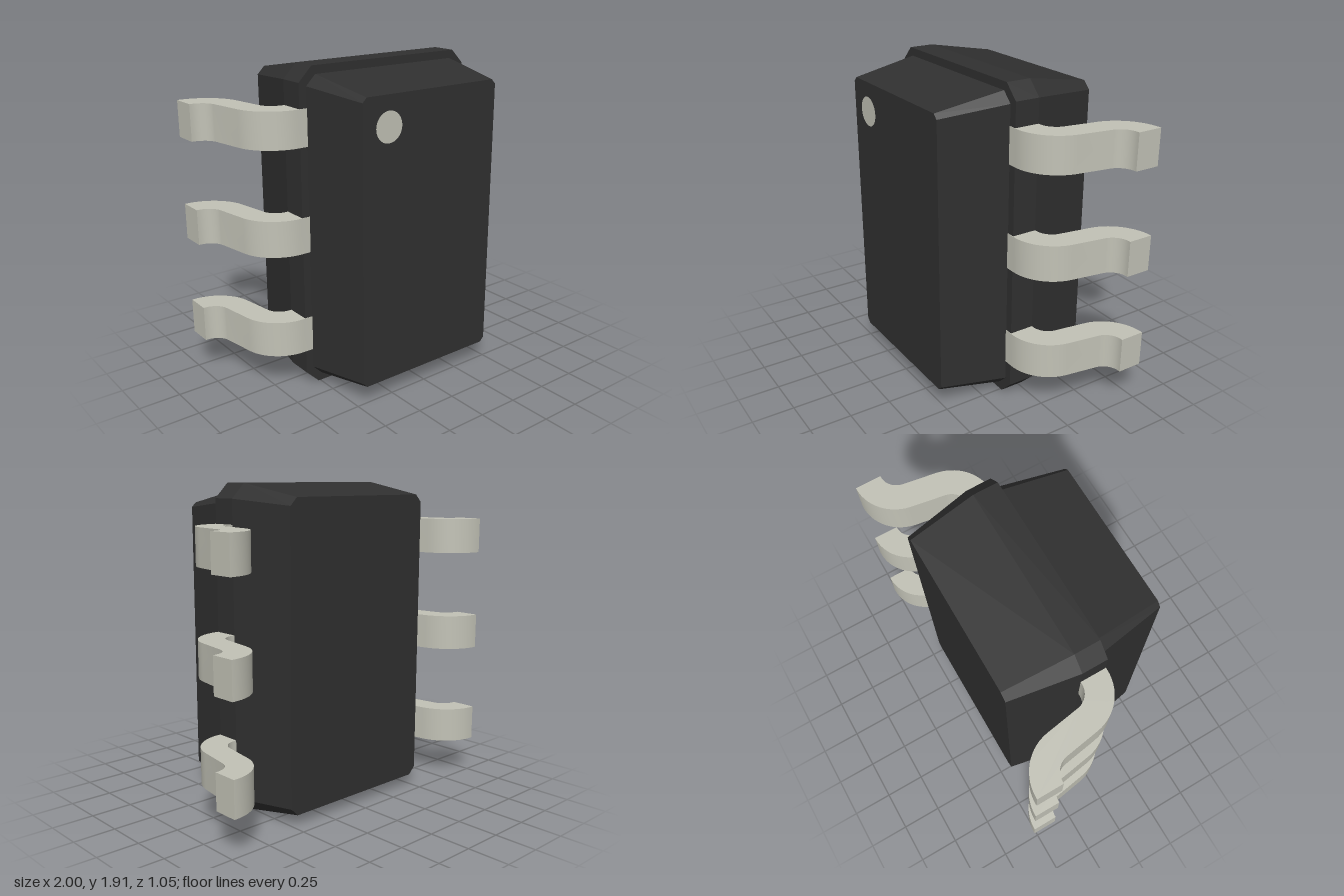
import * as THREE from 'three';
import { toCreasedNormals } from 'three/addons/utils/BufferGeometryUtils.js';

const MID_Y = 0.953;

// Chamfered rectangle outline, counter-clockwise seen from the front
function outline({ z, w, h, c }) {
  return [
    [w, -h + c], [w, h - c], [w - c, h], [-w + c, h],
    [-w, h - c], [-w, -h + c], [-w + c, -h], [w - c, -h],
  ].map(([x, y]) => [x, MID_Y + y, z]);
}

// Capped loft through outlines ordered from back to front
function loft(sections) {
  const rings = sections.map(outline);
  const pos = [];
  const tri = (a, b, c) => pos.push(...a, ...b, ...c);
  const n = rings[0].length;
  for (let r = 0; r < rings.length - 1; r++) {
    for (let i = 0; i < n; i++) {
      const j = (i + 1) % n;
      const [a, b, c, d] = [rings[r][i], rings[r][j], rings[r + 1][j], rings[r + 1][i]];
      tri(a, b, c);
      tri(a, c, d);
    }
  }
  const back = rings[0], front = rings[rings.length - 1];
  for (let i = 1; i < n - 1; i++) {
    tri(back[0], back[i + 1], back[i]);
    tri(front[0], front[i], front[i + 1]);
  }
  const g = new THREE.BufferGeometry();
  g.setAttribute('position', new THREE.Float32BufferAttribute(pos, 3));
  g.computeVertexNormals();
  return g;
}

// S-shaped lead: two tangent bends joined by a straight slope
function leadGeometry(side, height) {
  const a = 0.171, inner = 0.1, outer = 0.253, steps = 14;
  const c1 = [0.61, -0.13], c2 = [0.99, -0.273];
  const pts = [];
  const arc = (c, r, from, to) => {
    for (let i = 0; i <= steps; i++) {
      const t = from + (to - from) * i / steps;
      pts.push(new THREE.Vector2(side * (c[0] + r * Math.cos(t)), c[1] + r * Math.sin(t)));
    }
  };
  const q = Math.PI / 2;
  pts.push(new THREE.Vector2(side * 0.5, c1[1] + outer));
  arc(c1, outer, q, a);
  arc(c2, inner, Math.PI + a, 3 * q);
  pts.push(new THREE.Vector2(side, c2[1] - inner), new THREE.Vector2(side, c2[1] - outer));
  arc(c2, outer, 3 * q, Math.PI + a);
  arc(c1, inner, a, q);
  pts.push(new THREE.Vector2(side * 0.5, c1[1] + inner));
  const g = new THREE.ExtrudeGeometry(new THREE.Shape(pts), { depth: height, bevelEnabled: false });
  g.rotateX(Math.PI / 2).translate(0, height / 2, 0);
  return toCreasedNormals(g, 0.6);
}

export function createModel() {
  const model = new THREE.Group();
  model.name = 'chipPackage';
  const plastic = new THREE.MeshStandardMaterial({ color: 0x303030 });
  plastic.name = 'blackPlastic';
  const metal = new THREE.MeshStandardMaterial({ color: 0xc2c2b6 });
  metal.name = 'paleMetal';
  const add = (name, geometry, material) => {
    const mesh = new THREE.Mesh(geometry, material);
    mesh.name = name;
    model.add(mesh);
    return mesh;
  };

  // Body halves
  add('bodyBack', loft([
    { z: -0.43, w: 0.525, h: 0.882, c: 0.045 },
    { z: -0.03, w: 0.598, h: 0.953, c: 0.085 },
    { z: 0.12, w: 0.598, h: 0.953, c: 0.085 },
  ]), plastic);
  add('bodyFront', loft([
    { z: 0.12, w: 0.55, h: 0.905, c: 0.06 },
    { z: 0.523, w: 0.477, h: 0.833, c: 0.027 },
  ]), plastic);

  // Round marker in the upper corner of the front face
  add('pinMarker', new THREE.CircleGeometry(0.088, 40), metal).position.set(-0.303, 1.613, 0.526);

  // Three leads on each side
  for (const side of [1, -1]) {
    const geometry = leadGeometry(side, 0.214);
    for (const i of [-1, 0, 1]) {
      add(`${side > 0 ? 'left' : 'right'}Lead${i + 2}`, geometry, metal).position.y = MID_Y + i * 0.619;
    }
  }
  return model;
}
